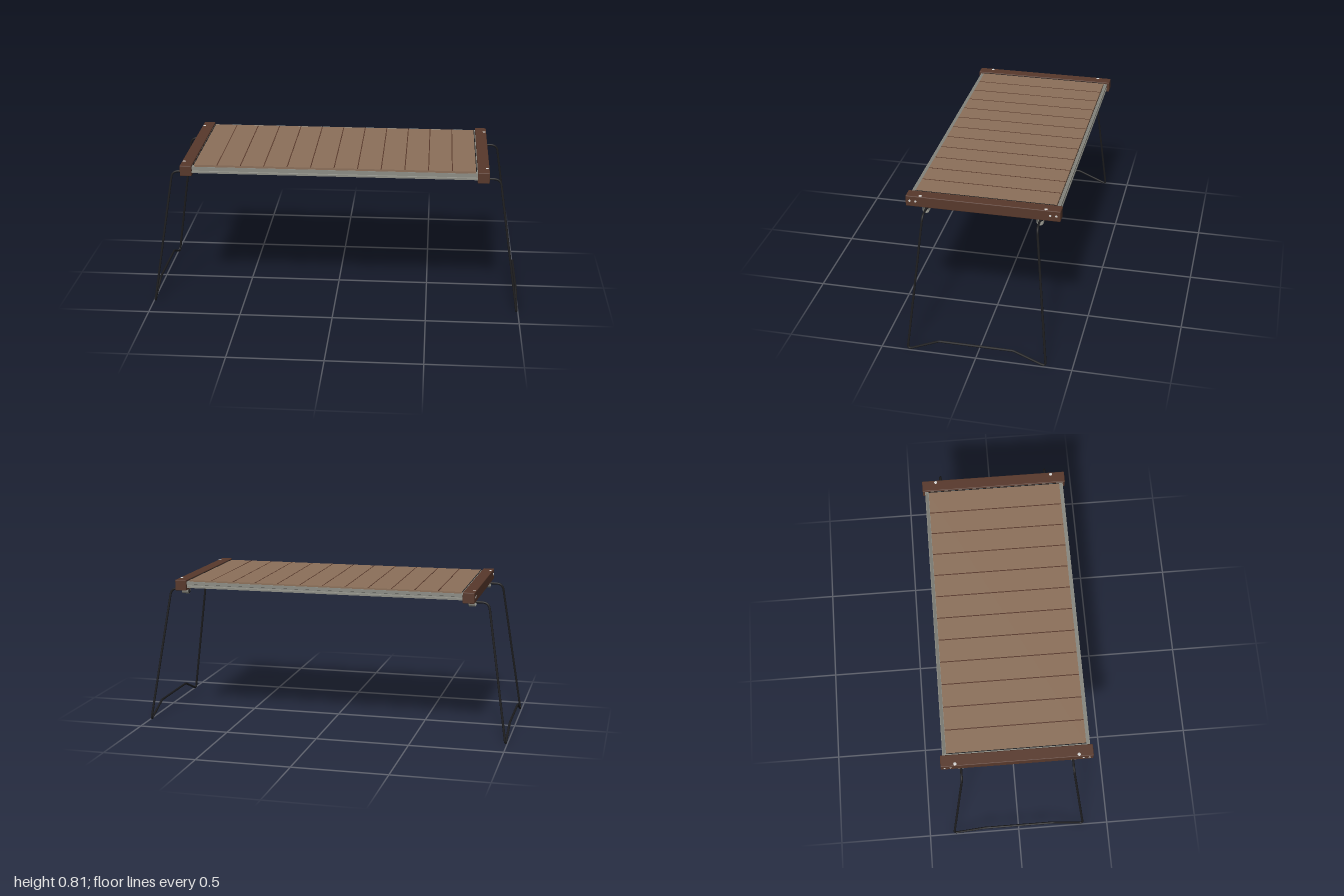
import * as THREE from 'three';
import { RoundedBoxGeometry } from 'three/addons/geometries/RoundedBoxGeometry.js';

const mat = (name, color, side = THREE.FrontSide) => {
  const m = new THREE.MeshStandardMaterial({ color, side });
  m.name = name;
  return m;
};

const add = (parent, name, geometry, material, x = 0, y = 0, z = 0) => {
  const mesh = new THREE.Mesh(geometry, material);
  mesh.name = name;
  mesh.position.set(x, y, z);
  parent.add(mesh);
  return mesh;
};

// Polyline with rounded corners; each point is [x, y, z, bend length]
function bentPath(points) {
  const path = new THREE.CurvePath();
  const p = points.map(([x, y, z]) => new THREE.Vector3(x, y, z));
  let last = p[0];
  for (let i = 1; i < p.length - 1; i++) {
    const bend = points[i][3];
    const a = p[i].clone().add(p[i - 1].clone().sub(p[i]).setLength(bend));
    const b = p[i].clone().add(p[i + 1].clone().sub(p[i]).setLength(bend));
    path.add(new THREE.LineCurve3(last, a));
    path.add(new THREE.QuadraticBezierCurve3(a, p[i], b));
    last = b;
  }
  path.add(new THREE.LineCurve3(last, p[p.length - 1]));
  return path;
}

// Grooved metal rail running along x, outer face towards -z
function railGeometry(length) {
  const profile = [
    [0.362, 0.762], [0.382, 0.762], [0.382, 0.772], [0.376, 0.774], [0.376, 0.78],
    [0.382, 0.782], [0.382, 0.797], [0.379, 0.797], [0.364, 0.784], [0.362, 0.784],
  ];
  const shape = new THREE.Shape(profile.map(([a, b]) => new THREE.Vector2(a, b)));
  const g = new THREE.ExtrudeGeometry(shape, { depth: length, bevelEnabled: false });
  return g.translate(0, 0, -length / 2).rotateY(Math.PI / 2);
}

// U-shaped strap hanging under the end beam, extruded along x
function strapGeometry(width) {
  const r = 0.018, t = 0.003, drop = 0.018;
  const s = new THREE.Shape();
  s.moveTo(-r, drop);
  s.lineTo(-r, 0);
  s.absarc(0, 0, r, Math.PI, Math.PI * 2, false);
  s.lineTo(r, drop);
  s.lineTo(r - t, drop);
  s.lineTo(r - t, 0);
  s.absarc(0, 0, r - t, Math.PI * 2, Math.PI, true);
  s.lineTo(-r + t, drop);
  const g = new THREE.ExtrudeGeometry(s, { depth: width, bevelEnabled: false, curveSegments: 16 });
  return g.translate(0, 0, -width / 2).rotateY(Math.PI / 2);
}

export function createModel() {
  const model = new THREE.Group();
  model.name = 'foldingTable';
  const wood = mat('plank wood', 0x8b6f59);
  const darkWood = mat('dark wood', 0x57382b);
  const metal = mat('rail metal', 0x8c8c84);
  const bolt = mat('bolt steel', 0xd2d2d0);
  const black = mat('black steel', 0x1c1c1e);

  // Table top with narrow dark joints between twelve planks
  const top = new THREE.Group();
  top.name = 'tableTop';
  model.add(top);
  add(top, 'planks', new THREE.BoxGeometry(1.49, 0.016, 0.724), wood, 0, 0.794, 0);
  for (let i = 1; i < 12; i++) {
    add(top, 'plankJoint', new THREE.BoxGeometry(0.005, 0.001, 0.722), darkWood,
      -0.745 + i * 1.49 / 12, 0.8022, 0);
  }

  // Long rails at front and back
  const rail = railGeometry(1.512);
  add(model, 'backRail', rail, metal);
  add(model, 'frontRail', rail, metal).rotation.y = Math.PI;

  // Both ends share one build, turned half round for the second
  const legPoints = [
    [0.775, 0.722, 0.291], [0.775, 0.739, 0.291, 0.008], [0.878, 0.739, 0.291, 0.035],
    [0.992, -0.002, 0.364, 0.025], [0.993, 0.07, 0.195, 0.008],
  ];
  const mirrored = legPoints.map(([x, y, z, b]) => [x, y, -z, b]).reverse();
  const legGeometry = new THREE.TubeGeometry(bentPath([...legPoints, ...mirrored]), 320, 0.006, 10);
  const beamGeometry = new RoundedBoxGeometry(0.062, 0.058, 0.79, 2, 0.004);
  const strap = strapGeometry(0.036);
  const sideBolt = new THREE.CylinderGeometry(0.006, 0.006, 0.004, 16).rotateZ(Math.PI / 2);
  const dome = new THREE.SphereGeometry(0.009, 16, 6, 0, Math.PI * 2, 0, Math.PI / 2).scale(1, 0.35, 1);
  const tip = new THREE.SphereGeometry(0.006, 10, 8);

  for (const turn of [0, Math.PI]) {
    const end = new THREE.Group();
    end.name = turn ? 'rightEnd' : 'leftEnd';
    end.rotation.y = turn;
    model.add(end);

    add(end, 'endBeam', beamGeometry, darkWood, 0.785, 0.777, 0);
    add(end, 'crossRail', new THREE.BoxGeometry(0.012, 0.034, 0.75), metal, 0.75, 0.779, 0);
    add(end, 'crossRailGroove', new THREE.BoxGeometry(0.004, 0.001, 0.724), black, 0.747, 0.8025, 0);
    add(end, 'leg', legGeometry, black);

    for (const s of [1, -1]) {
      add(end, 'legTip', tip, black, 0.775, 0.722, s * 0.291);
      add(end, 'legStrap', strap, metal, 0.792, 0.733, s * 0.292);
      add(end, 'topBolt', dome, bolt, 0.804, 0.8055, s * 0.32);
      for (const z of [0.343, 0.374]) {
        add(end, 'sideBolt', sideBolt, bolt, 0.8155, 0.779, s * z);
      }
    }
  }
  return model;
}
